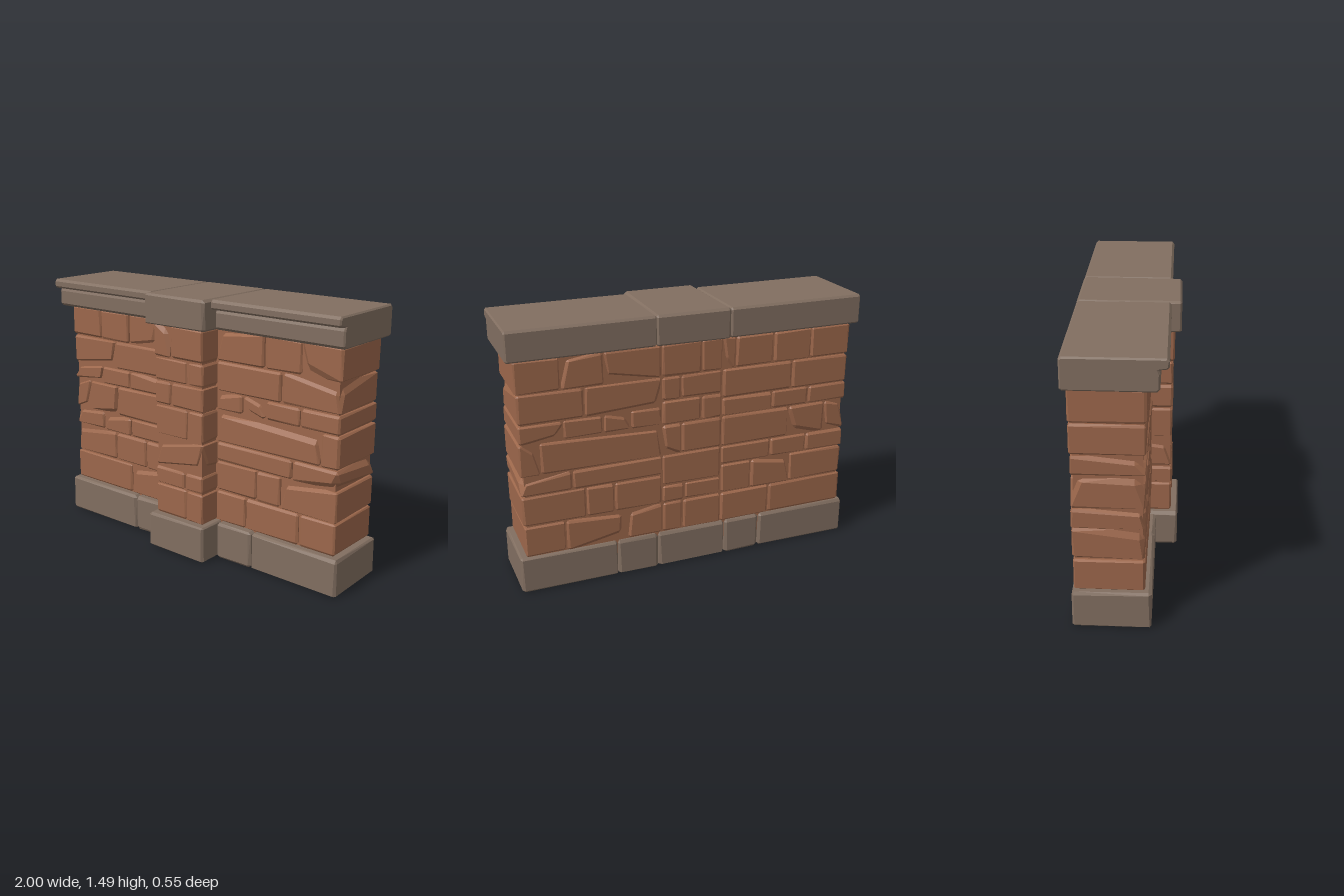
import * as THREE from 'three';
import { ConvexGeometry } from 'three/addons/geometries/ConvexGeometry.js';

const brickMat = new THREE.MeshStandardMaterial({ color: 0x9c674b });
brickMat.name = 'brick';
const stoneMat = new THREE.MeshStandardMaterial({ color: 0x816e60 });
stoneMat.name = 'stone';

// small seeded generator for the worn edges
let seed = 7;
const rnd = (a, b) => {
  seed = (seed * 16807) % 2147483647;
  return a + (b - a) * (seed / 2147483647);
};

// worn block: a box with unevenly cut edges and, at some corners, a larger chip
function block(parent, name, mat, min, max, bevel, chipChance = 0) {
  const pts = [];
  const size = min.map((v, i) => max[i] - v);
  for (const sx of [0, 1]) for (const sy of [0, 1]) for (const sz of [0, 1]) {
    const s = [sx, sy, sz];
    const chipped = rnd(0, 1) < chipChance;
    const cut = size.map((d, i) => {
      const c = chipped ? [rnd(0.02, 0.05), rnd(0.03, 0.07), rnd(0.02, 0.06)][i] : rnd(0.5, 1.3) * bevel;
      return Math.min(c, d * 0.4);
    });
    for (let face = 0; face < 3; face++) {
      const p = s.map((side, i) => {
        const inset = i === face ? 0 : cut[i];
        return side ? max[i] - inset : min[i] + inset;
      });
      pts.push(new THREE.Vector3(...p));
    }
  }
  const mesh = new THREE.Mesh(new ConvexGeometry(pts), mat);
  mesh.name = name;
  parent.add(mesh);
}

function core(parent, name, min, max) {
  const size = min.map((v, i) => max[i] - v);
  const mesh = new THREE.Mesh(new THREE.BoxGeometry(...size), brickMat);
  mesh.position.set(...min.map((v, i) => (v + max[i]) / 2));
  mesh.name = name;
  parent.add(mesh);
}

// one course of bricks between successive joints, running through the wall
function course(parent, name, y0, y1, joints, zFront, chance) {
  for (let i = 0; i < joints.length - 1; i++) {
    const gap = 0.004;
    const end = Math.abs(joints[i]) > 0.9 || Math.abs(joints[i + 1]) > 0.9;
    block(parent, name, brickMat,
      [joints[i] + gap, y0 + gap, -0.247 + rnd(-0.005, 0.005)],
      [joints[i + 1] - gap, y1 - gap, zFront + rnd(-0.005, 0.005)],
      0.011, end ? chance * 2 : chance);
  }
}

// cap stone with a stepped front, made from a side profile
function wingCap(parent, name, x0, x1) {
  const b = 0.008;
  const profile = [[-0.277, 1.335], [-0.265, 1.325], [0.165, 1.325], [0.18, 1.34], [0.18, 1.415],
    [0.172, 1.432], [0.21, 1.437], [0.221, 1.448], [0.221, 1.476], [0.208, 1.49], [-0.265, 1.49], [-0.277, 1.478]];
  const shape = new THREE.Shape(profile.map(([z, y]) => new THREE.Vector2(z, y)));
  const geo = new THREE.ExtrudeGeometry(shape, {
    depth: x1 - x0 - 2 * b, bevelEnabled: true, bevelThickness: b, bevelSize: b, bevelOffset: -b, bevelSegments: 1,
  });
  geo.rotateY(-Math.PI / 2);
  geo.translate(x1 - b, 0, 0);
  const mesh = new THREE.Mesh(geo, stoneMat);
  mesh.name = name;
  parent.add(mesh);
}

export function createModel() {
  seed = 7;
  const model = new THREE.Group();
  model.name = 'brickWall';
  const bricks = new THREE.Group();
  bricks.name = 'brickwork';
  const base = new THREE.Group();
  base.name = 'base';
  const cap = new THREE.Group();
  cap.name = 'cap';
  model.add(bricks, base, cap);

  // recessed mortar
  core(bricks, 'wallCore', [-0.945, 0.1, -0.234], [0.94, 1.4, 0.105]);
  core(bricks, 'pillarCore', [-0.168, 0.1, -0.233], [0.158, 1.4, 0.226]);

  // wall courses: bottom, top, joints left of the pillar, joints right of it
  const L = -0.182, R = 0.172;
  const wall = [
    [0.21, 0.395, [-0.49], [0.38, 0.73]],
    [0.395, 0.572, [-0.62, -0.37], [0.45, 0.61]],
    [0.572, 0.685, [-0.72, -0.49], [0.68]],
    [0.685, 0.868, [-0.83, -0.6], [0.85]],
    [0.868, 0.975, [-0.72, -0.49], [0.35, 0.5, 0.72]],
    [0.975, 1.143, [-0.61], [0.6]],
    [1.143, 1.325, [-0.72, -0.49, -0.26], [0.49, 0.72]],
  ];
  for (const [y0, y1, left, right] of wall) {
    course(bricks, 'wallBrick', y0, y1, [-0.965 + rnd(-0.006, 0.006), ...left, L], 0.12, 0.09);
    course(bricks, 'wallBrick', y0, y1, [R, ...right, 0.962 + rnd(-0.006, 0.006)], 0.12, 0.09);
  }

  // pillar courses
  const pillar = [
    [0.21, 0.395, 0.05], [0.395, 0.5, 0.04], [0.5, 0.688, null], [0.688, 0.866, 0.06],
    [0.866, 1.005, -0.06], [1.005, 1.14, 0.06], [1.14, 1.325, -0.06],
  ];
  for (const [y0, y1, joint] of pillar) {
    course(bricks, 'pillarBrick', y0, y1, joint === null ? [L, R] : [L, joint, R], 0.238, 0.03);
  }

  // base stones
  const baseJoints = [-0.992, -0.43, -0.21, 0.2, 0.44, 0.992];
  for (let i = 0; i < 5; i++) {
    const middle = i === 2;
    block(base, middle ? 'pillarBase' : 'baseStone', stoneMat,
      [baseJoints[i] + 0.002, 0, -0.253], [baseJoints[i + 1] - 0.002, 0.212, middle ? 0.275 : 0.152], 0.015);
  }

  // cap stones
  wingCap(cap, 'rightCap', -1, -0.214);
  wingCap(cap, 'leftCap', 0.208, 1);
  block(cap, 'pillarCap', stoneMat, [-0.214, 1.323, -0.278], [0.208, 1.491, 0.274], 0.014);
  return model;
}
